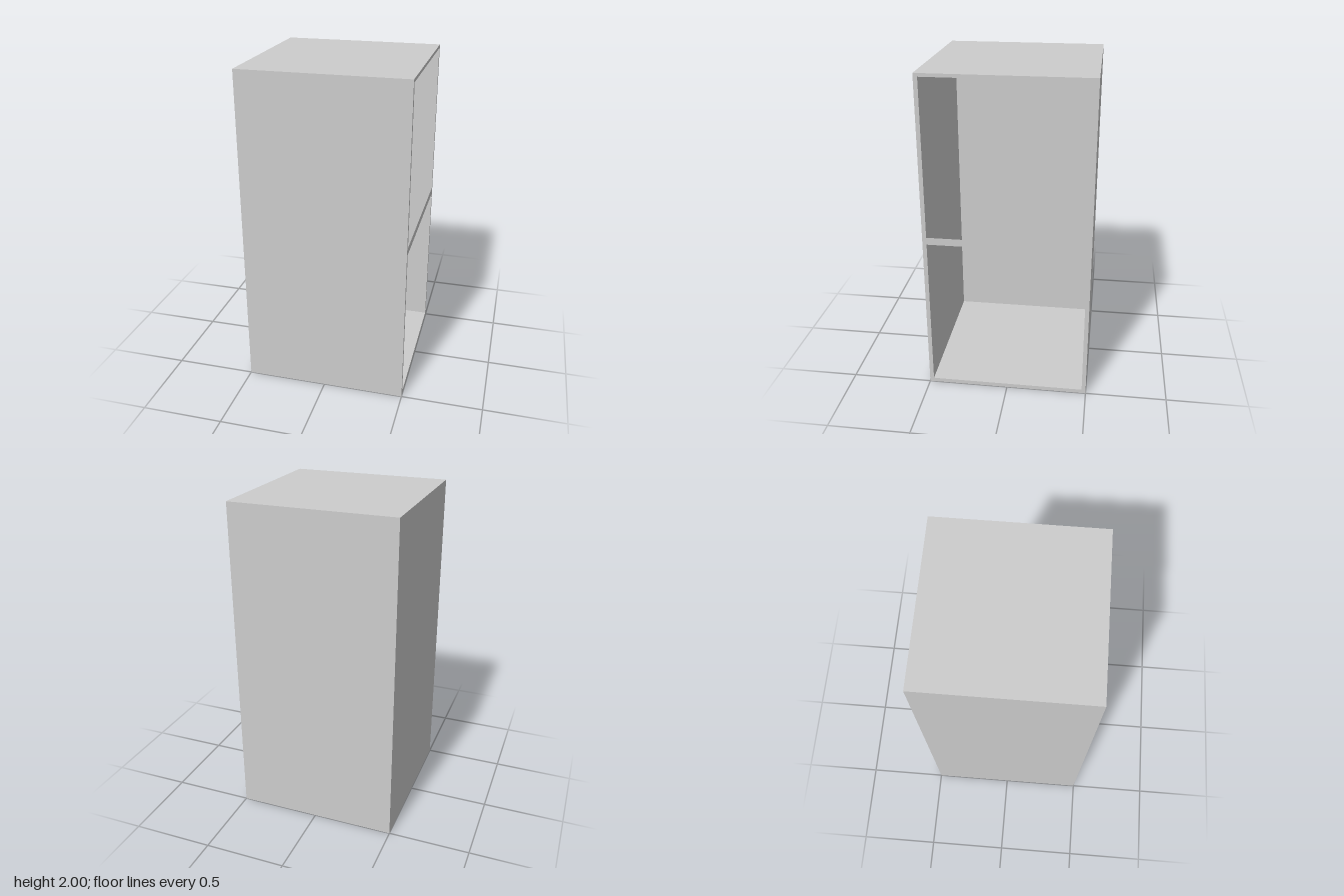
import * as THREE from 'three';

const DEPTH = 1, HEIGHT = 2, BACK = 0.025;
const HALF_OPEN = 0.475, OPEN_BOTTOM = 0.025, OPEN_TOP = 1.98;
const RAIL_BOTTOM = 0.98, RAIL_TOP = 1.025;

// Counter-clockwise rectangle outline
function rectPoints(x0, y0, x1, y1) {
  return [[x0, y0], [x1, y0], [x1, y1], [x0, y1]].map(([x, y]) => new THREE.Vector2(x, y));
}

export function createModel() {
  const group = new THREE.Group();
  group.name = 'openCabinet';
  const grey = new THREE.MeshStandardMaterial({ color: 0xcccccc });
  grey.name = 'lightGrey';

  const add = (geometry, name, x, y) => {
    const mesh = new THREE.Mesh(geometry, grey);
    mesh.name = name;
    mesh.rotation.y = Math.PI / 2; // local z points to the open side, +x
    mesh.position.set(x, y, 0);
    group.add(mesh);
  };

  // Side walls, floor and ceiling as one hollow sleeve
  const outline = new THREE.Shape(rectPoints(-0.5, 0, 0.5, HEIGHT));
  outline.holes.push(new THREE.Path(rectPoints(-HALF_OPEN, OPEN_BOTTOM, HALF_OPEN, OPEN_TOP).reverse()));
  const sleeve = new THREE.ExtrudeGeometry(outline, { depth: DEPTH - BACK, bevelEnabled: false });
  add(sleeve, 'cabinetShell', -DEPTH / 2 + BACK, 0);

  // Closed panel opposite the opening
  add(new THREE.BoxGeometry(1, HEIGHT, BACK), 'backPanel', -DEPTH / 2 + BACK / 2, HEIGHT / 2);

  // Flat rail dividing the opening in two; the cavity behind it is continuous
  const rail = new THREE.PlaneGeometry(2 * HALF_OPEN, RAIL_TOP - RAIL_BOTTOM);
  add(rail, 'middleRail', DEPTH / 2, (RAIL_TOP + RAIL_BOTTOM) / 2);

  return group;
}
